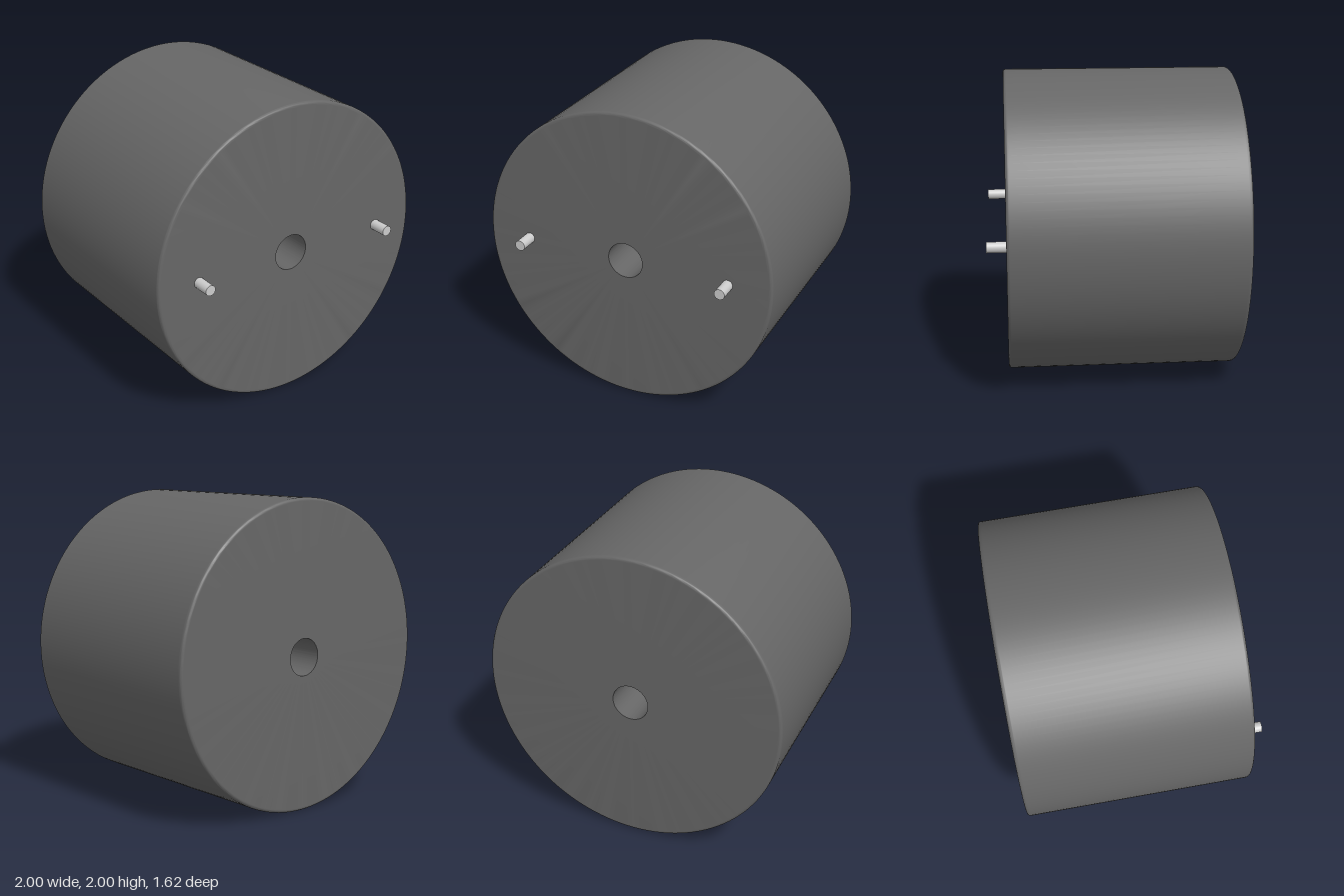
import * as THREE from 'three';
import { toCreasedNormals } from 'three/addons/utils/BufferGeometryUtils.js';

const FRONT = 0.685, BACK = -0.81, RADIUS = 1, BORE = 0.12, FILLET = 0.02;

// Closed profile (radius, depth) with rounded outer rims and a sharp bore
function bodyProfile() {
  const points = [[BORE, BACK], [RADIUS - FILLET - 0.005, BACK]];
  const addFillet = (depth, start) => {
    for (let i = 0; i <= 5; i++) {
      const a = start + (i / 5) * Math.PI / 2;
      points.push([RADIUS - FILLET + FILLET * Math.cos(a), depth + FILLET * Math.sin(a)]);
    }
  };
  addFillet(BACK + FILLET, -Math.PI / 2);
  points.push([RADIUS, BACK + FILLET + 0.005], [RADIUS, FRONT - FILLET - 0.005]);
  addFillet(FRONT - FILLET, 0);
  points.push([RADIUS - FILLET - 0.005, FRONT], [BORE, FRONT], [BORE, BACK]);
  return points.map(([r, d]) => new THREE.Vector2(r, d));
}

export function createModel() {
  const group = new THREE.Group();
  group.name = 'drumWithPins';

  // Drum with a through bore, axis along z
  const bodyMaterial = new THREE.MeshStandardMaterial({ color: 0x666666 });
  const bodyGeometry = toCreasedNormals(new THREE.LatheGeometry(bodyProfile(), 128), Math.PI / 5);
  const body = new THREE.Mesh(bodyGeometry.rotateX(Math.PI / 2), bodyMaterial);
  body.name = 'body';
  body.position.y = 1;
  group.add(body);

  // Two locating pins on the front face
  const pinMaterial = new THREE.MeshStandardMaterial({ color: 0xcccccc });
  const pinBase = FRONT - 0.02, pinTip = 0.81;
  const pinGeometry = new THREE.CylinderGeometry(0.035, 0.035, pinTip - pinBase, 32).rotateX(Math.PI / 2);
  for (const [name, side] of [['leftPin', 1], ['rightPin', -1]]) {
    const pin = new THREE.Mesh(pinGeometry, pinMaterial);
    pin.name = name;
    pin.position.set(side * 0.705, 1, (pinBase + pinTip) / 2);
    group.add(pin);
  }
  return group;
}
